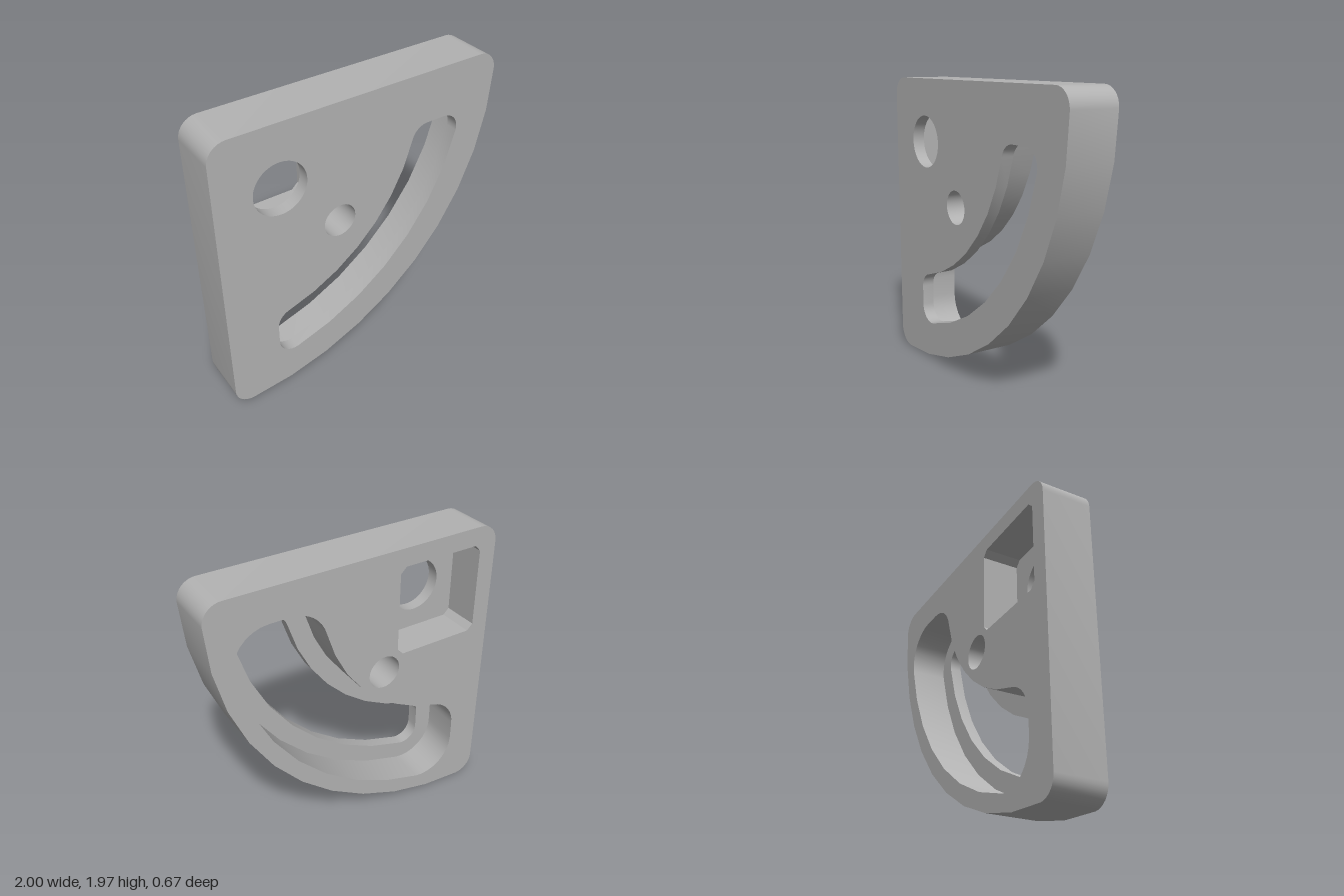
import * as THREE from 'three';
import { toCreasedNormals } from 'three/addons/utils/BufferGeometryUtils.js';

const HALF = 0.986, TOP = 1.972, FILLET = 0.123;
const BACK = -0.165, FRONT = 0.165, LEDGE = 0.083;
const CX = -HALF + FILLET, CY = TOP - FILLET; // pivot shared by all big arcs
const Q = Math.PI / 2;

const arc = (x, y, r, a0, a1, n) => Array.from({ length: n + 1 }, (_, i) => {
  const a = a0 + (a1 - a0) * i / n;
  return new THREE.Vector2(x + r * Math.cos(a), y + r * Math.sin(a));
});
const circle = (x, y, r) => arc(x, y, r, 0, 4 * Q, 48);

// joins pieces into one counter-clockwise loop without repeated points
function loop(...pieces) {
  const pts = pieces.flat();
  return pts.filter((p, i) => p.distanceTo(pts[(i + 1) % pts.length]) > 1e-5);
}

// quarter-round plate outline with three rounded corners
const outline = loop(
  arc(CX, FILLET, FILLET, 2 * Q, 3 * Q, 8),
  arc(CX, CY, CY, -Q, 0, 10),
  arc(-CX, CY, FILLET, 0, Q, 8),
  arc(CX, CY, FILLET, Q, 2 * Q, 8));

// curved slot with rounded corners, widened by d all round
function slot(d) {
  const ri = 1.375, ro = 1.505, r = 0.11 + d;
  const fi = Math.acos(0.33 / ri), fo = Math.acos(0.33 / ro);
  const corner = (rad, a, a0, a1) =>
    arc(CX + rad * Math.cos(a), CY + rad * Math.sin(a), r, a0, a1, 8);
  return loop(
    arc(CX, CY, ro + r, -fo, fo - Q, 7),
    corner(ro, fo - Q, fo - Q, Q),
    corner(ri, fi - Q, Q, Q + fi),
    arc(CX, CY, ri - r, fi - Q, -fi, 7),
    corner(ri, -fi, 2 * Q - fi, 2 * Q),
    corner(ro, -fo, 2 * Q, 4 * Q - fo));
}

// square pocket with small cut corners
function pocketLoop(x, y, h, c) {
  return [[-h + c, -h], [h - c, -h], [h, -h + c], [h, h - c],
    [h - c, h], [-h + c, h], [-h, h - c], [-h, -h + c]]
    .map(([u, v]) => new THREE.Vector2(x + u, y + v));
}

// flat face with holes at depth z
function face(pts, holes, z, toBack) {
  const shape = new THREE.Shape(pts);
  shape.holes = holes.map(h => new THREE.Path(h));
  const g = new THREE.ShapeGeometry(shape);
  if (toBack) {
    const idx = g.index.array;
    for (let i = 0; i < idx.length; i += 3) [idx[i], idx[i + 1]] = [idx[i + 1], idx[i]];
    g.computeVertexNormals();
  }
  return g.translate(0, 0, z);
}

// side wall along a loop; inward walls line an opening
function wall(pts, z0, z1, inward) {
  const path = inward ? [...pts].reverse() : pts;
  const pos = [];
  path.forEach((p, i) => {
    const q = path[(i + 1) % path.length];
    pos.push(p.x, p.y, z0, q.x, q.y, z0, q.x, q.y, z1);
    pos.push(p.x, p.y, z0, q.x, q.y, z1, p.x, p.y, z1);
  });
  const g = new THREE.BufferGeometry();
  g.setAttribute('position', new THREE.Float32BufferAttribute(pos, 3));
  return toCreasedNormals(g, Math.PI / 6);
}

export function createModel() {
  const metal = new THREE.MeshStandardMaterial({ color: 0xb2b2b2 });
  metal.name = 'grey metal';
  const model = new THREE.Group();
  model.name = 'slottedQuadrantPlate';
  const add = (name, geometry) => {
    const mesh = new THREE.Mesh(geometry, metal);
    mesh.name = name;
    model.add(mesh);
  };

  const throughSlot = slot(0), wideSlot = slot(0.125);
  const hx = -0.567, hy = 1.552;
  const bigHole = loop(circle(hx, hy, 0.175));
  const smallHole = loop(circle(-0.171, 1.16, 0.112));
  const pocket = pocketLoop(hx, hy, 0.3, 0.04);

  // plate body
  add('frontFace', face(outline, [throughSlot, bigHole, smallHole], FRONT, false));
  add('backFace', face(outline, [wideSlot, pocket, smallHole], BACK, true));
  add('plateRim', wall(outline, BACK, FRONT, false));

  // stepped slot: wide at the back, narrow at the front
  add('slotWall', wall(throughSlot, LEDGE, FRONT, true));
  add('slotLedge', face(wideSlot, [throughSlot], LEDGE, true));
  add('slotRecessWall', wall(wideSlot, BACK, LEDGE, true));

  // square pocket behind the big hole
  add('bigHoleWall', wall(bigHole, LEDGE, FRONT, true));
  add('pocketFloor', face(pocket, [bigHole], LEDGE, true));
  add('pocketWall', wall(pocket, BACK, LEDGE, true));

  add('smallHoleWall', wall(smallHole, BACK, FRONT, true));

  model.rotation.y = Math.PI / 18;
  return model;
}
